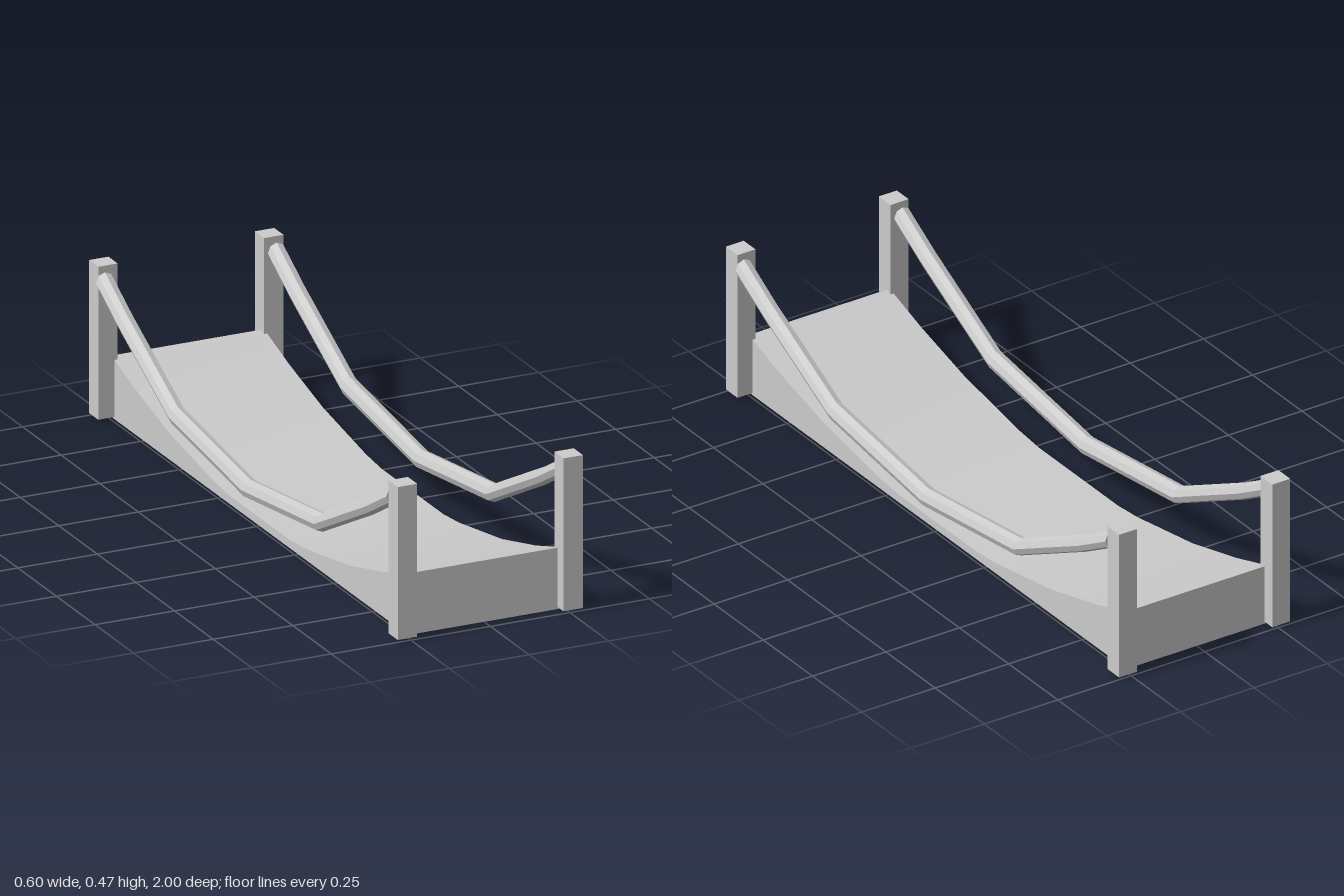
import * as THREE from 'three';
import { toCreasedNormals } from 'three/addons/utils/BufferGeometryUtils.js';

const material = new THREE.MeshStandardMaterial({ color: 0xcccccc });
const flat = new THREE.MeshStandardMaterial({ color: 0xcccccc, flatShading: true });

function part(name, geometry, mat = material) {
  const mesh = new THREE.Mesh(geometry, mat);
  mesh.name = name;
  return mesh;
}

// Solid deck: a sagging side profile extruded across the width
function deckGeometry() {
  const half = [[0.2, 0.025], [0.3, 0.034], [0.58, 0.08], [0.8, 0.136], [0.96, 0.186]];
  const top = [...half.map(([z, y]) => [-z, y]).reverse(), ...half];
  const shape = new THREE.Shape();
  shape.moveTo(-0.96, 0);
  shape.lineTo(0.96, 0);
  top.reverse().forEach(([z, y]) => shape.lineTo(z, y));
  shape.closePath();
  const g = new THREE.ExtrudeGeometry(shape, { depth: 0.48, bevelEnabled: false });
  g.translate(0, 0, -0.24);
  g.rotateY(Math.PI / 2);
  return toCreasedNormals(g, 0.5);
}

// Eight-sided handrail: a tube whose rings are moved onto a hanging line
function railGeometry() {
  const line = [[-0.94, 0.422], [-0.8, 0.343], [-0.47, 0.177], [0, 0.118],
    [0.47, 0.177], [0.8, 0.343], [0.94, 0.422]];
  const g = new THREE.CylinderGeometry(0.028, 0.028, 6, 8, 6);
  g.rotateX(Math.PI / 2);
  const p = g.attributes.position;
  for (let i = 0; i < p.count; i++) {
    const [z, y] = line[Math.round(p.getZ(i) + 3)];
    p.setY(i, p.getY(i) + y);
    p.setZ(i, z);
  }
  g.computeVertexNormals();
  return g;
}

export function createModel() {
  const bridge = new THREE.Group();
  bridge.name = 'bridge';
  bridge.add(part('deck', deckGeometry()));

  const postGeometry = new THREE.BoxGeometry(0.061, 0.463, 0.06);
  const rail = railGeometry();
  for (const side of [1, -1]) {
    const label = side > 0 ? 'left' : 'right';
    const handrail = part(label + 'Handrail', rail, flat);
    handrail.position.x = side * 0.27;
    bridge.add(handrail);
    // Posts at both ends of the handrail
    for (const end of [1, -1]) {
      const post = part(label + (end > 0 ? 'FrontPost' : 'BackPost'), postGeometry);
      post.position.set(side * 0.2605, 0.2385, end * 0.97);
      bridge.add(post);
    }
  }
  return bridge;
}
